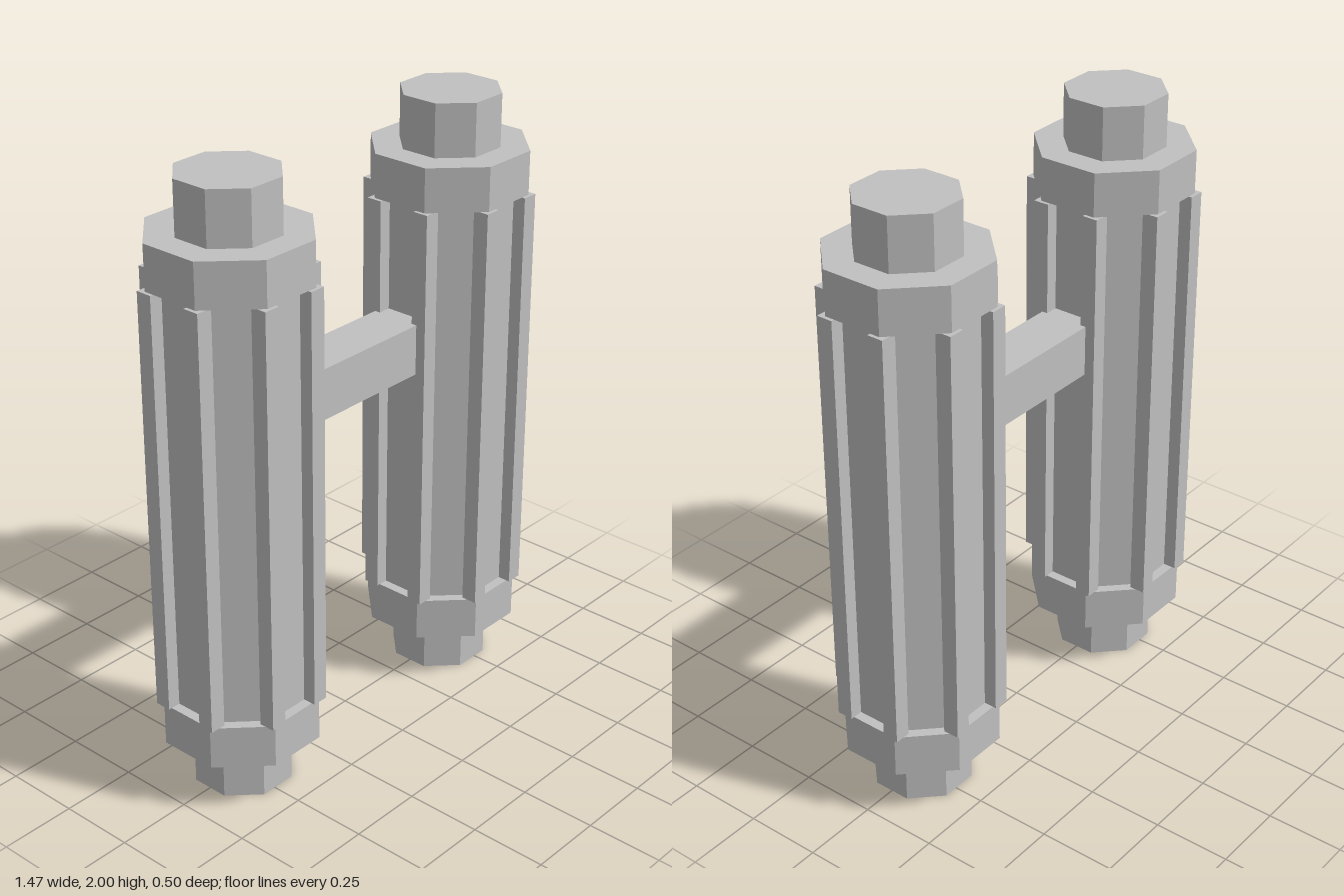
import * as THREE from 'three';

const grey = new THREE.MeshStandardMaterial({ color: 0xc0c0c0, flatShading: true });
grey.name = 'lightGrey';

function addPart(parent, name, geometry, x, y, z) {
  const mesh = new THREE.Mesh(geometry, grey);
  mesh.name = name;
  mesh.position.set(x, y, z);
  parent.add(mesh);
}

// Upright octagonal prism with flat sides facing the axes; size is centre to flat
function octagon(apothem, height) {
  const geometry = new THREE.CylinderGeometry(
    apothem / Math.cos(Math.PI / 8), apothem / Math.cos(Math.PI / 8), height, 8);
  return geometry.rotateY(Math.PI / 8);
}

function createColumn(name, x) {
  const column = new THREE.Group();
  column.name = name;
  column.position.x = x;

  // Core, with a collar and a pin at each end
  addPart(column, 'core', octagon(0.205, 1.37), 0, 1, 0);
  for (const [end, s] of [['lower', -1], ['upper', 1]]) {
    addPart(column, end + 'Collar', octagon(0.237, 0.143), 0, 1 + s * 0.7565, 0);
    addPart(column, end + 'Pin', octagon(0.15, 0.172), 0, 1 + s * 0.914, 0);
  }

  // Square ribs along the eight corners
  const rib = new THREE.BoxGeometry(0.053, 1.37, 0.053);
  for (let i = 0; i < 8; i++) {
    const a = Math.PI / 8 + i * Math.PI / 4;
    addPart(column, 'rib', rib, 0.24 * Math.cos(a), 1, 0.24 * Math.sin(a));
  }
  return column;
}

export function createModel() {
  const model = new THREE.Group();
  model.name = 'twinColumns';
  model.add(createColumn('leftColumn', 0.485), createColumn('rightColumn', -0.485));

  // Bar joining the two columns
  addPart(model, 'crossBar', new THREE.BoxGeometry(0.6, 0.168, 0.168), 0, 1.231, 0);
  return model;
}
